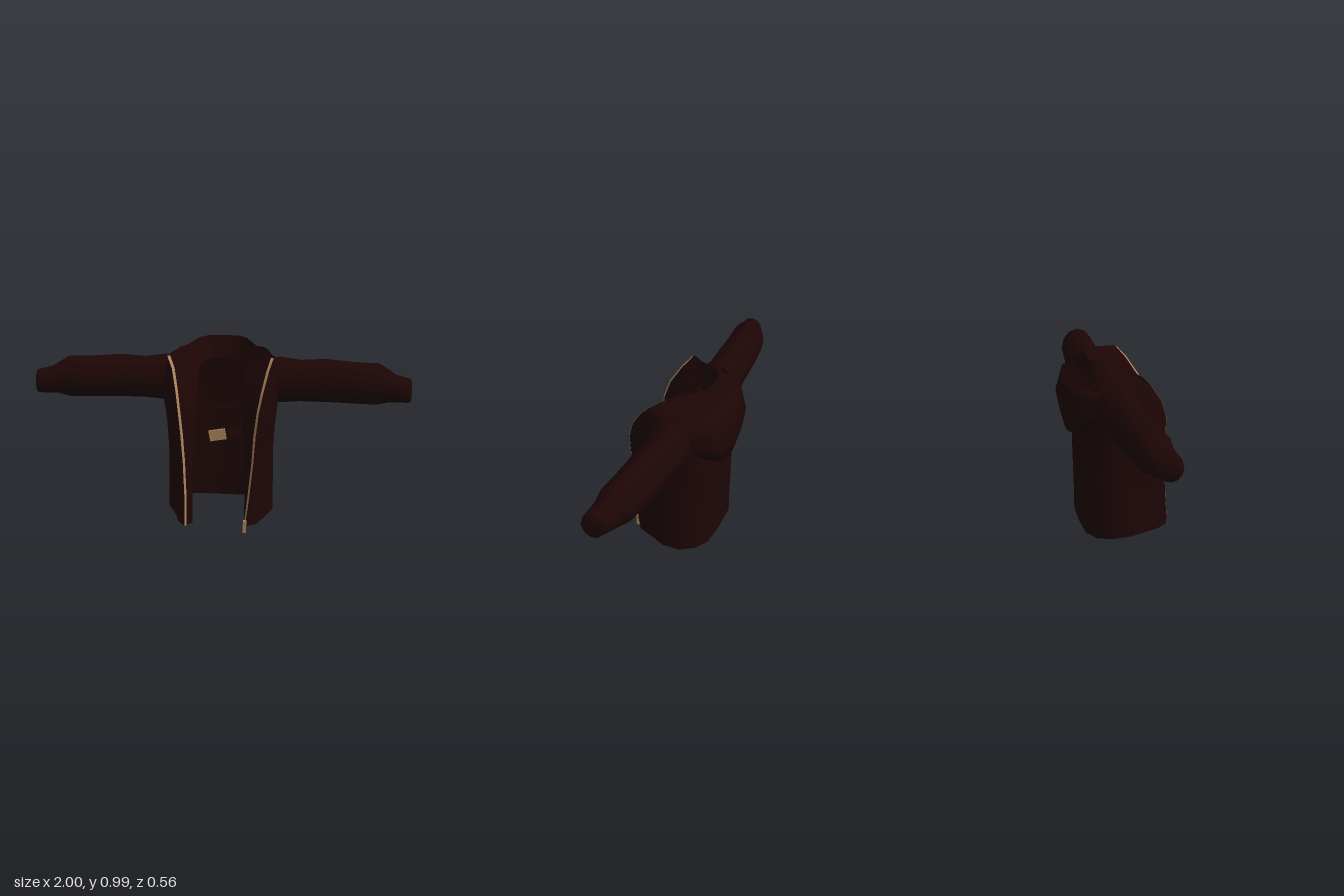
import * as THREE from 'three';

const cloth = new THREE.MeshStandardMaterial({ color: 0x1d0505, side: THREE.DoubleSide });
cloth.name = 'dark maroon cloth';
const brass = new THREE.MeshStandardMaterial({ color: 0xa8825a, side: THREE.DoubleSide });
brass.name = 'tan brass';

// Smooth surface through rows of points
function loft(name, rows, material) {
  const n = rows[0].length, index = [];
  for (let i = 0; i < rows.length - 1; i++) {
    for (let j = 0; j < n - 1; j++) {
      const a = i * n + j, b = a + 1, c = a + n, d = c + 1;
      index.push(a, b, c, b, d, c);
    }
  }
  const geo = new THREE.BufferGeometry();
  geo.setAttribute('position', new THREE.Float32BufferAttribute(rows.flat(2), 3));
  geo.setIndex(index);
  geo.computeVertexNormals();
  const mesh = new THREE.Mesh(geo, material);
  mesh.name = name;
  return mesh;
}

// Body levels: y, left edge x and z, right edge x and z, half width, back z, corner fullness
const levels = [
  [0.035, 0.15, 0.25, 0.18, 0.277, 0.295, -0.187, 0.87],
  [0.20, 0.17, 0.25, 0.18, 0.264, 0.293, -0.189, 0.86],
  [0.40, 0.19, 0.25, 0.188, 0.25, 0.29, -0.193, 0.89],
  [0.55, 0.20, 0.25, 0.198, 0.25, 0.298, -0.19, 0.95],
  [0.68, 0.215, 0.248, 0.21, 0.248, 0.312, -0.185, 1],
  [0.78, 0.235, 0.215, 0.225, 0.215, 0.312, -0.18, 1],
  [0.88, 0.26, 0.15, 0.25, 0.15, 0.30, -0.17, 1],
];
const hemDrop = [0, 0.006, 0.01, -0.004, 0, 0.006, 0.011, 0.014];

// Collar seam, collar rim and neck line, from the front edge to the centre of the back
const seam = [[0.272, 0.905, 0.125], [0.28, 0.91, 0.09], [0.275, 0.915, 0.05], [0.25, 0.92, 0],
  [0.22, 0.925, -0.06], [0.17, 0.93, -0.115], [0.10, 0.938, -0.142], [0, 0.94, -0.145]];
const rim = [[0.28, 0.935, 0.10], [0.255, 0.95, 0.07], [0.215, 0.963, 0.035], [0.175, 0.975, 0],
  [0.15, 0.983, -0.05], [0.125, 0.988, -0.10], [0.08, 0.99, -0.135], [0, 0.99, -0.142]];
const neck = [[0.12, 0.86, 0.04], [0.12, 0.86, 0.02], [0.115, 0.863, -0.01], [0.105, 0.866, -0.04],
  [0.088, 0.87, -0.06], [0.066, 0.872, -0.077], [0.038, 0.875, -0.087], [0, 0.875, -0.092]];
const mirror = (p) => [-p[0], p[1], p[2]];
const bothSides = (half) => [...half, ...half.map(mirror).reverse().slice(1)];
const edgePoint = (l, side) => (side > 0 ? [l[1], l[0], l[2]] : [-l[3], l[0], l[4]]);

// One half of a level, front edge to centre back; the left is a little slimmer
function halfSection(level, side) {
  const [y, , zf, , , width, zb, k] = level;
  const edge = edgePoint(level, side);
  const e = Math.abs(edge[0]);
  const w = side > 0 ? width - 0.008 : width;
  const front = w * k;
  const back = side > 0 ? front : w * (k + 1) / 2;
  return [
    [e, edge[2]], [e + (front - e) * 0.55, zf * 0.84], [front * 0.95, zf * 0.5], [w, zf * 0.12],
    [w * 0.985, zb * 0.35], [back * 0.91, zb * 0.74], [back * 0.58, zb * 0.97], [0, zb],
  ].map(([x, z], j) => [x * side, y - (y < 0.1 ? hemDrop[j] : 0), z]);
}

function makeBody() {
  const rows = levels.map((l) => [...halfSection(l, 1), ...halfSection(l, -1).reverse().slice(1)]);
  rows.push(bothSides(seam), bothSides(rim));
  return loft('body', rows, cloth);
}

// Facing rows from the zip edge and collar rim to the neck opening
function facingRows(side) {
  const innerX = [0.14, 0.14, 0.135, 0.125, 0.125, 0.12, 0.12];
  const innerZ = [0.23, 0.215, 0.19, 0.19, 0.17, 0.12, 0.06];
  const rows = levels.map((l, i) => [
    edgePoint(l, side), [innerX[i] * side, Math.min(l[0], 0.85), innerZ[i]],
  ]);
  rim.forEach((p, i) => rows.push(side > 0 ? [p, neck[i]] : [mirror(p), mirror(neck[i])]));
  return rows;
}

// Zip tape lying along the outer edge of the facing
function makeZip(side) {
  const rows = facingRows(side).slice(0, levels.length + 1).map(([p, q]) => {
    const length = Math.hypot(q[0] - p[0], q[2] - p[2]);
    const dx = (q[0] - p[0]) / length, dz = (q[2] - p[2]) / length;
    const start = [p[0] + dz * side * 0.003, p[1], p[2] + Math.abs(dx) * 0.003];
    return [start, [start[0] + dx * 0.016, p[1], start[2] + dz * 0.016]];
  });
  return loft(side > 0 ? 'leftZip' : 'rightZip', rows, brass);
}

// Sleeve rings: x, centre y, centre z, radius y, radius z
function makeSleeve(side) {
  const rings = [
    [0.27, 0.78, -0.03, 0.118, 0.11], [0.31, 0.78, -0.033, 0.127, 0.118],
    [0.42, 0.775, -0.038, 0.115, 0.107], [0.55, 0.78, -0.033, 0.12, 0.103],
    [0.70, 0.775, -0.022, 0.115, 0.10], [0.83, 0.775, -0.01, 0.115, 0.096],
    [0.89, 0.768, 0, 0.088, 0.08], [0.92, 0.76, 0.008, 0.076, 0.078],
    [0.98, 0.757, 0.028, 0.068, 0.063], [1.0, 0.755, 0.03, 0.063, 0.058], [1.0, 0.755, 0.03, 0, 0],
  ];
  const sides = 12;
  const rows = rings.map(([x, y, z, ry, rz]) => Array.from({ length: sides + 1 }, (_, j) => {
    const a = -side * j / sides * Math.PI * 2;
    return [x * side, y + ry * Math.cos(a), z + rz * Math.sin(a)];
  }));
  return loft(side > 0 ? 'leftSleeve' : 'rightSleeve', rows, cloth);
}

// Folded hood resting on the back: y, z, half width, z of its side ends
function makeHood() {
  const profile = [
    [0.93, -0.165, 0.24, -0.09], [0.867, -0.185, 0.295, -0.05], [0.868, -0.245, 0.315, -0.05],
    [0.82, -0.256, 0.322, -0.05], [0.745, -0.28, 0.315, -0.07], [0.66, -0.268, 0.28, -0.11],
    [0.585, -0.25, 0.20, -0.13], [0.56, -0.18, 0.15, -0.15],
  ];
  const rows = profile.map(([y, z, w, zEnd], i) => Array.from({ length: 17 }, (_, j) => {
    const t = 1 - j / 8, s = Math.abs(t);
    const lift = i > 4 ? 0.06 * t * t : 0;
    // The left side is fuller than the right
    const bow = t > 0 ? 0.15 * s ** 2 + 0.85 * s ** 9 : 0.38 * s ** 2 + 0.62 * s ** 9;
    return [w * t, y + lift, zEnd + (z - zEnd) * (1 - bow)];
  }));
  return loft('hood', rows, cloth);
}

// Ribbon bowed across the opening, its lower edge leaning outwards
function makeStrap(name, yRight, yLeft, height) {
  const rows = [0, 1].map((k) => Array.from({ length: 9 }, (_, j) => {
    const t = j / 4 - 1;
    const y = yRight + (yLeft - yRight) * j / 8;
    return [t * 0.135, y + (k - 0.5) * height, 0.21 - 0.02 * t * t - 0.012 * k];
  }));
  return loft(name, rows, cloth);
}

function box(name, size, pos) {
  const mesh = new THREE.Mesh(new THREE.BoxGeometry(...size), brass);
  mesh.position.set(...pos);
  mesh.name = name;
  return mesh;
}

export function createModel() {
  const jacket = new THREE.Group();
  jacket.name = 'jacket';
  jacket.add(makeBody(), makeHood());
  for (const side of [1, -1]) {
    const facing = loft(side > 0 ? 'leftFacing' : 'rightFacing', facingRows(side), cloth);
    jacket.add(makeSleeve(side), facing, makeZip(side));
  }
  jacket.add(makeStrap('chestStrap', 0.51, 0.57, 0.04));

  const buckle = box('buckle', [0.088, 0.058, 0.012], [-0.005, 0.54, 0.207]);
  buckle.rotation.z = 0.18;
  jacket.add(buckle, box('zipPull', [0.018, 0.07, 0.014], [0.145, 0.035, 0.257]));
  return jacket;
}
